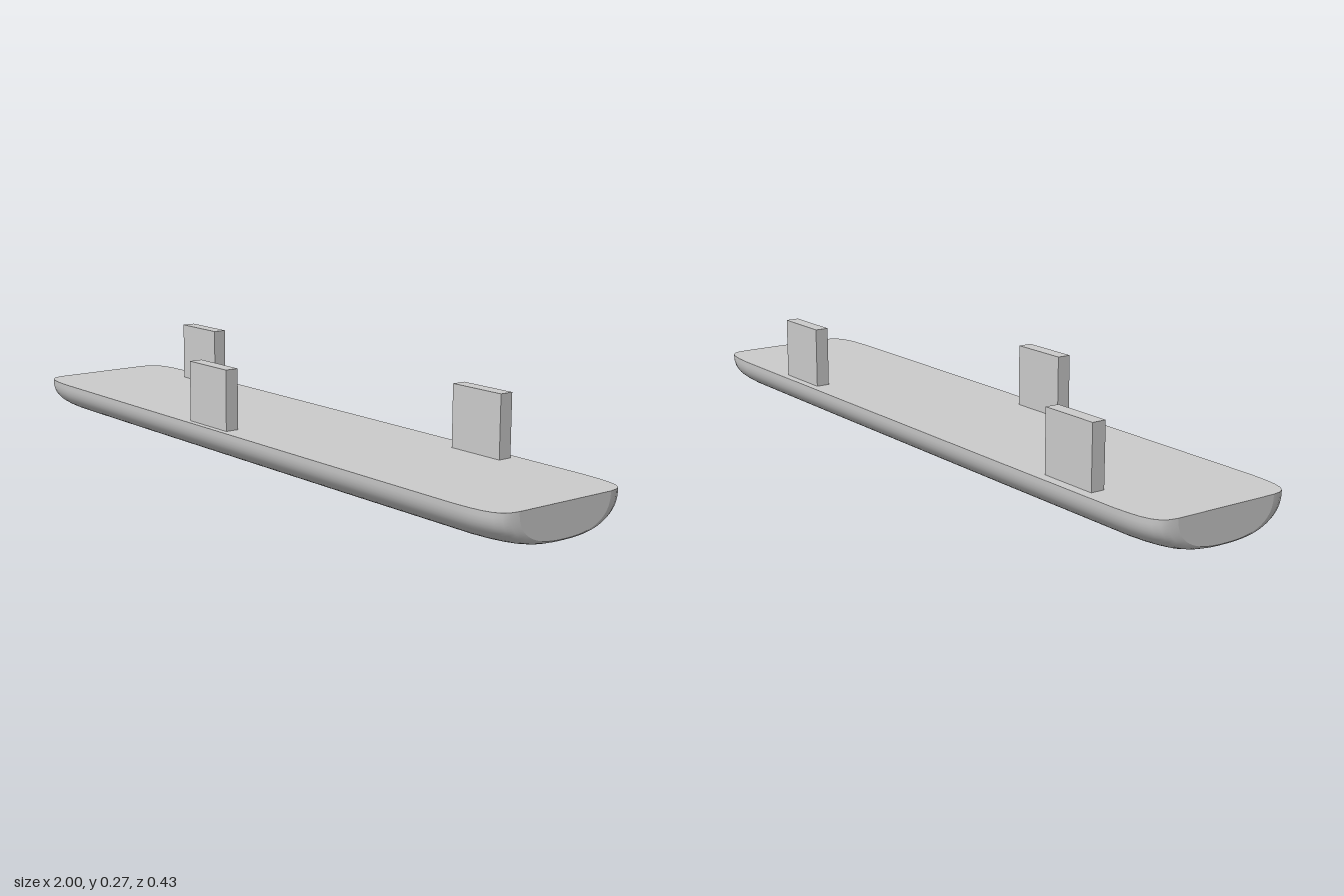
import * as THREE from 'three';

const TOP = 0.102;
const SEGMENTS = 40;

// Surface through rows of points, all rows having the same length
function gridGeometry(rows) {
  const cols = rows[0].length;
  const index = [];
  for (let i = 0; i < rows.length - 1; i++) {
    for (let j = 0; j < cols - 1; j++) {
      const a = i * cols + j, b = a + cols;
      index.push(a, a + 1, b, a + 1, b + 1, b);
    }
  }
  const geometry = new THREE.BufferGeometry();
  geometry.setAttribute('position', new THREE.Float32BufferAttribute(rows.flat(2), 3));
  geometry.setIndex(index);
  geometry.computeVertexNormals();
  return geometry;
}

// Rounded underside section: half of a superellipse hanging from the top edge
function section([x, halfWidth, depth]) {
  const points = [];
  for (let j = 0; j <= SEGMENTS; j++) {
    const t = (Math.PI * j) / SEGMENTS;
    const c = Math.cos(t), s = Math.max(0, Math.sin(t));
    points.push([
      x,
      TOP - depth * Math.pow(s, 0.8),
      halfWidth * Math.sign(c) * Math.pow(Math.abs(c), 0.8),
    ]);
  }
  return points;
}

export function createModel() {
  const group = new THREE.Group();
  const material = new THREE.MeshStandardMaterial({ color: 0xcccccc });
  const add = (name, geometry, parent = group) => {
    const mesh = new THREE.Mesh(geometry, material);
    mesh.name = name;
    parent.add(mesh);
    return mesh;
  };

  // Slab stations from the middle to the end: x, half width, depth
  const half = [
    [0.4, 0.213, 0.102], [0.86, 0.212, 0.1015], [0.91, 0.209, 0.1],
    [0.945, 0.204, 0.098], [0.97, 0.196, 0.096], [0.987, 0.184, 0.093],
    [0.996, 0.168, 0.09], [1, 0.145, 0.086],
  ];
  const stations = [...half.map(([x, w, d]) => [-x, w, d]).reverse(), ...half];
  const rings = stations.map(section);

  const slab = new THREE.Group();
  slab.name = 'slab';
  group.add(slab);
  add('underside', gridGeometry(rings), slab);
  add('topFace', gridGeometry(stations.map(([x, w]) => [[x, TOP, -w], [x, TOP, w]])), slab);

  // Flat ends, filled from the ring up to the top edge
  const lift = (ring) => ring.map(([x, , z]) => [x, TOP, z]);
  const first = rings[0], last = rings[rings.length - 1];
  add('rightEnd', gridGeometry([lift(first), first]), slab);
  add('leftEnd', gridGeometry([last, lift(last)]), slab);

  // Upright tabs: two along the back, one at the front
  const tabs = [
    ['backRightTab', -0.67, -0.166],
    ['backLeftTab', 0.55, -0.171],
    ['frontTab', -0.117, 0.177],
  ];
  for (const [name, x, z] of tabs) {
    add(name, new THREE.BoxGeometry(0.17, 0.167, 0.038)).position.set(x, 0.1835, z);
  }

  return group;
}
